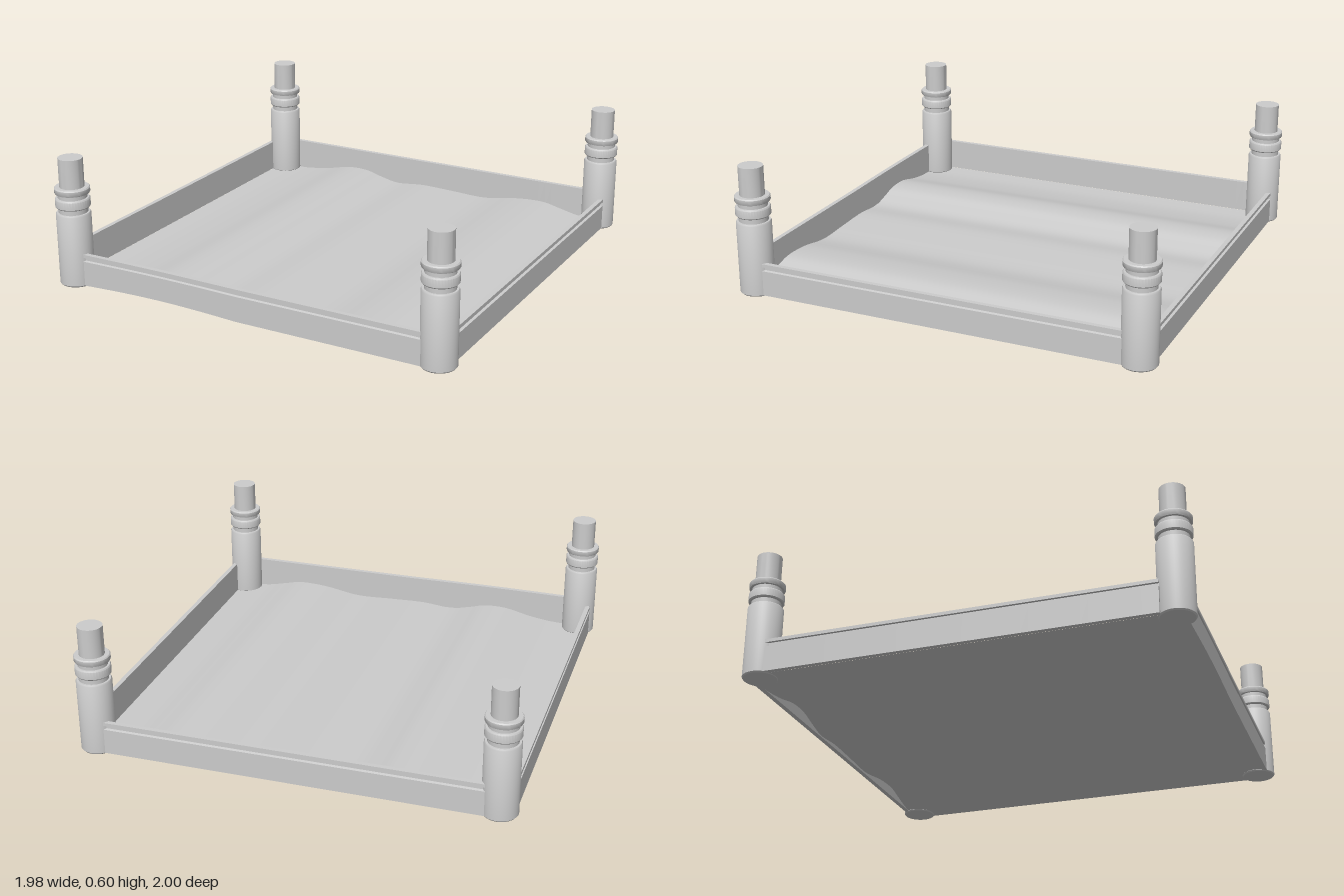
import * as THREE from 'three';
import { toCreasedNormals } from 'three/addons/utils/BufferGeometryUtils.js';

const grey = new THREE.MeshStandardMaterial({ color: 0xcccccc });
const greyDouble = new THREE.MeshStandardMaterial({ color: 0xcccccc, side: THREE.DoubleSide });
const v2 = ([x, y]) => new THREE.Vector2(x, y);

// Turned post: body, two rings and a narrow peg on top
function postGeometry() {
  const profile = [
    [0, 0], [0.074, 0], [0.079, 0.006], [0.079, 0.335], [0.075, 0.342],
    [0.066, 0.342], [0.066, 0.366], [0.075, 0.366], [0.079, 0.371], [0.079, 0.405],
    [0.075, 0.411], [0.066, 0.411], [0.066, 0.432], [0.077, 0.432], [0.08, 0.437],
    [0.08, 0.456], [0.076, 0.461], [0.056, 0.461], [0.056, 0.596], [0, 0.596],
  ].map(v2);
  return toCreasedNormals(new THREE.LatheGeometry(profile, 40), 0.6);
}

// Rail section: +x of the shape is the outer face, grooved beneath the cap
function railGeometry(length, lift) {
  const section = new THREE.Shape([
    [-0.022, 0.005], [0, 0.005], [0, 0.122], [-0.012, 0.125],
    [-0.012, 0.141], [0, 0.141], [0, 0.156], [-0.022, 0.156],
  ].map(v2));
  const g = new THREE.ExtrudeGeometry(section, { depth: length, steps: 48, bevelEnabled: false });
  g.translate(0, 0, -length / 2);
  if (lift) {
    // Slight warp along one stretch of the lower edge, fading towards the cap
    const p = g.attributes.position;
    for (let i = 0; i < p.count; i++) {
      const t = (p.getZ(i) - 0.03) / 0.82;
      if (t > 0 && t < 1) {
        const fade = 1 - 0.8 * p.getY(i) / 0.156;
        p.setY(i, p.getY(i) + lift * fade * Math.sin(Math.PI * t));
      }
    }
  }
  return toCreasedNormals(g, 0.5);
}

// Thin floor sheet, rippled across x only
function floorGeometry() {
  const wave = new THREE.SplineCurve([
    [-0.955, 0.004], [-0.82, 0.004], [-0.67, 0.022], [-0.53, 0.052], [-0.42, 0.052],
    [-0.33, 0.03], [-0.23, 0.012], [-0.08, 0.024], [0.1, 0.02], [0.28, 0.016],
    [0.46, 0.044], [0.6, 0.05], [0.7, 0.03], [0.8, 0.01], [0.935, 0.004],
  ].map(v2));
  const n = 100;
  const pos = [], idx = [];
  for (let i = 0; i <= n; i++) {
    const p = wave.getPoint(i / n);
    const y = Math.max(p.y, 0.002);
    pos.push(p.x, y, -0.96, p.x, y, 0.94);
    if (i < n) {
      const a = i * 2;
      idx.push(a, a + 1, a + 2, a + 2, a + 1, a + 3);
    }
  }
  const g = new THREE.BufferGeometry();
  g.setAttribute('position', new THREE.Float32BufferAttribute(pos, 3));
  g.setIndex(idx);
  g.computeVertexNormals();
  return g;
}

export function createModel() {
  const model = new THREE.Group();
  const add = (name, geometry, material, x, z, turn = 0) => {
    const mesh = new THREE.Mesh(geometry, material);
    mesh.name = name;
    mesh.position.set(x, 0, z);
    mesh.rotation.y = turn;
    model.add(mesh);
  };

  // Corner posts
  const post = postGeometry();
  add('frontLeftPost', post, grey, 0.905, 0.902);
  add('frontRightPost', post, grey, -0.911, 0.918);
  add('backLeftPost', post, grey, 0.908, -0.92);
  add('backRightPost', post, grey, -0.911, -0.92);

  // Rails between the posts, grooves facing outwards
  const rail = railGeometry(1.74, 0);
  add('leftRail', rail, grey, 0.955, -0.01);
  add('rightRail', rail, grey, -0.976, -0.01, Math.PI);
  add('backRail', rail, grey, -0.005, -0.976, Math.PI / 2);
  add('frontRail', railGeometry(1.74, 0.013), grey, -0.005, 0.955, -Math.PI / 2);

  // Floor
  add('floor', floorGeometry(), greyDouble, 0, 0);
  return model;
}
